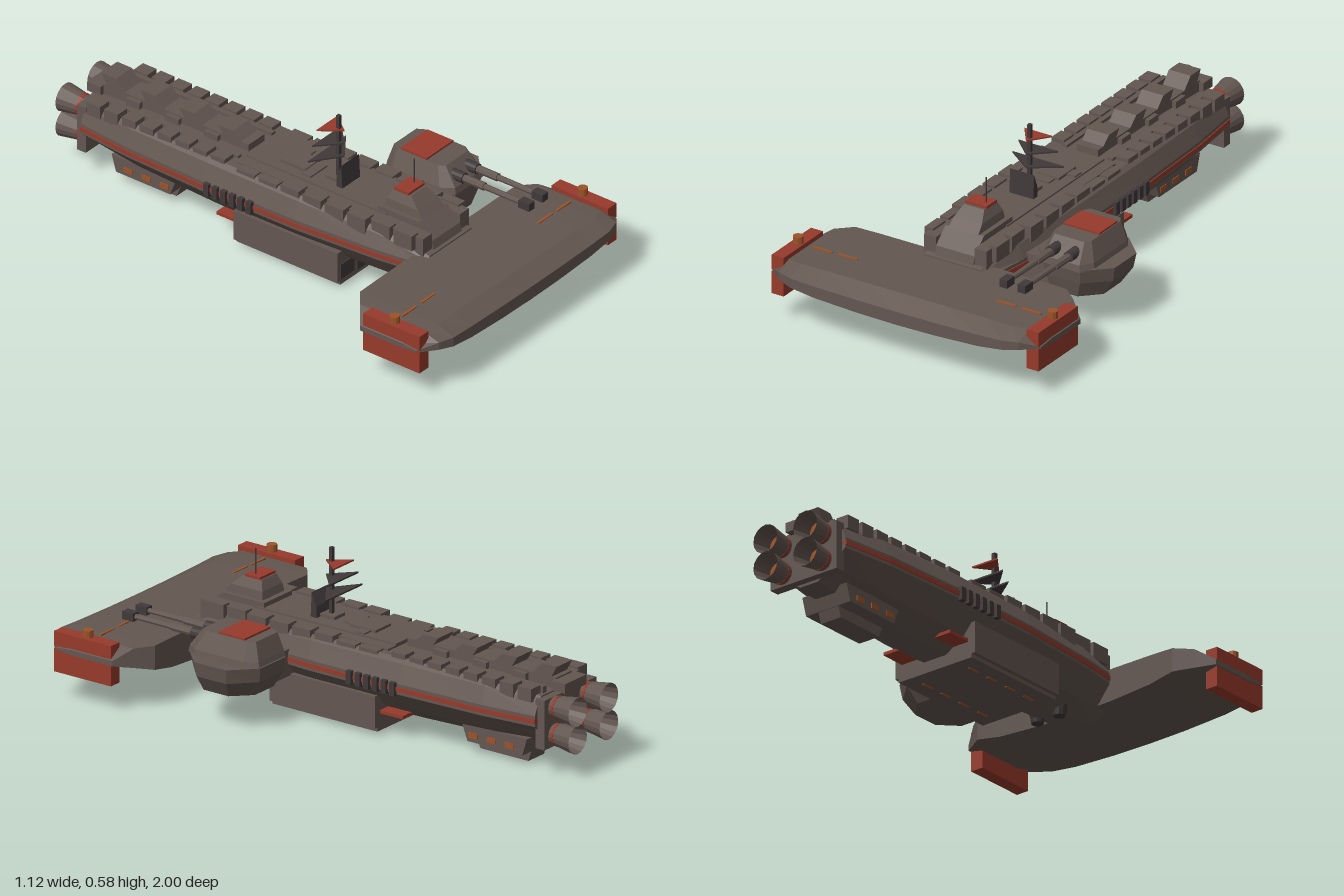
import * as THREE from 'three';

const mat = (name, color) => Object.assign(new THREE.MeshStandardMaterial({ color, flatShading: true }), { name });

export function createModel() {
  const root = new THREE.Group();
  root.name = 'warship';
  const hull = mat('hull grey', 0x635650);
  const dark = mat('dark metal', 0x40393a);
  const red = mat('red paint', 0x963a2b);
  const orange = mat('orange lights', 0x9c5228);

  const add = (name, geo, m, x = 0, y = 0, z = 0) => {
    const mesh = new THREE.Mesh(geo, m);
    mesh.name = name;
    mesh.position.set(x, y, z);
    root.add(mesh);
    return mesh;
  };
  // box given by its limits on each axis
  const box = (name, m, x0, x1, y0, y1, z0, z1) =>
    add(name, new THREE.BoxGeometry(x1 - x0, y1 - y0, z1 - z0), m, (x0 + x1) / 2, (y0 + y1) / 2, (z0 + z1) / 2);
  const pair = (name, m, x0, x1, ...r) => {
    box(name, m, x0, x1, ...r);
    box(name, m, -x1, -x0, ...r);
  };
  // cylinder along z; r0 at the back, r1 at the front
  const rod = (name, m, r0, r1, x, y, z0, z1, n = 12, open = false) =>
    add(name, new THREE.CylinderGeometry(r1, r0, z1 - z0, n, 1, open).rotateX(Math.PI / 2), m, x, y, (z0 + z1) / 2);

  // capped, flat-faced skin through rings of [x, y, z] points
  function loft(name, m, rings) {
    const p = [];
    const tri = (a, b, c) => p.push(...a, ...b, ...c);
    const n = rings[0].length;
    for (let i = 0; i + 1 < rings.length; i++) {
      for (let j = 0; j < n; j++) {
        const a = rings[i][j], b = rings[i][(j + 1) % n];
        const c = rings[i + 1][(j + 1) % n], d = rings[i + 1][j];
        tri(a, b, c);
        tri(a, c, d);
      }
    }
    const last = rings[rings.length - 1];
    for (let j = 1; j < n - 1; j++) {
      tri(rings[0][0], rings[0][j + 1], rings[0][j]);
      tri(last[0], last[j], last[j + 1]);
    }
    // turn the skin outward when its enclosed volume is negative
    let vol = 0;
    const va = new THREE.Vector3(), vb = new THREE.Vector3(), vc = new THREE.Vector3();
    for (let i = 0; i < p.length; i += 9) {
      va.fromArray(p, i); vb.fromArray(p, i + 3); vc.fromArray(p, i + 6);
      vol += va.dot(vb.cross(vc));
    }
    if (vol < 0) {
      for (let i = 0; i < p.length; i += 9) {
        for (let k = 0; k < 3; k++) [p[i + 3 + k], p[i + 6 + k]] = [p[i + 6 + k], p[i + 3 + k]];
      }
    }
    const g = new THREE.BufferGeometry();
    g.setAttribute('position', new THREE.Float32BufferAttribute(p, 3));
    g.computeVertexNormals();
    return add(name, g, m);
  }
  // side profile of [z, y] points, extruded from x0 to x1
  const slab = (name, m, x0, x1, pts) => loft(name, m, [x0, x1].map(x => pts.map(([z, y]) => [x, y, z])));
  // mirrored half outline of [x, y] points at depth z
  const mirrored = (pts, z) => [...pts.map(([x, y]) => [x, y, z]), ...pts.slice().reverse().map(([x, y]) => [-x, y, z])];

  // main hull: [z, half width, keel height, deck height]
  const stations = [
    [-0.87, 0.165, 0.1, 0.3], [-0.65, 0.188, 0.075, 0.312], [-0.3, 0.2, 0.065, 0.315],
    [0.1, 0.198, 0.06, 0.312], [0.45, 0.175, 0.065, 0.3], [0.64, 0.15, 0.08, 0.255],
  ];
  loft('hull', hull, stations.map(([z, w, b, t]) => mirrored(
    [[0.25 * w, b], [0.65 * w, b + 0.05], [w, 0.195], [w, 0.235], [0.87 * w, t - 0.015], [0.78 * w, t]], z)));
  loft('red waterline stripe', red, stations.map(([z, w]) => mirrored([[w + 0.004, 0.207], [w + 0.004, 0.223]], z)));
  box('stern block', hull, -0.15, 0.15, 0.11, 0.295, -0.9, -0.86);

  // hammerhead bow wing: [x, rear z, front z, top, bottom]
  const half = [
    [0.56, 0.68, 0.93, 0.205, 0.185], [0.5, 0.633, 0.982, 0.244, 0.172], [0.44, 0.585, 1, 0.248, 0.158],
    [0.34, 0.585, 1, 0.25, 0.139], [0.16, 0.585, 1, 0.25, 0.127], [0, 0.585, 1, 0.25, 0.124],
  ];
  const wing = [...half.map(s => [-s[0], ...s.slice(1)]), ...half.slice(0, -1).reverse()];
  loft('bow wing', hull, wing.map(([x, b, f, t, u]) => [
    [x, t, b], [x, t, f - 0.07], [x, t * 0.7 + u * 0.3, f], [x, t * 0.3 + u * 0.7, f], [x, u, f - 0.1], [x, u, b],
  ]));
  pair('wing tip pod upper', red, 0.506, 0.556, 0.2, 0.257, 0.69, 0.94);
  pair('wing tip pod lower', red, 0.506, 0.556, 0.107, 0.194, 0.69, 0.94);
  pair('wing tip pod seam', dark, 0.51, 0.552, 0.19, 0.204, 0.695, 0.935);
  for (const s of [-1, 1]) {
    add('wing tip lamp', new THREE.CylinderGeometry(0.019, 0.019, 0.028, 10), orange, s * 0.53, 0.27, 0.81);
  }
  pair('wing light dash', orange, 0.29, 0.37, 0.249, 0.253, 0.794, 0.804);
  pair('wing light dash', orange, 0.395, 0.475, 0.247, 0.252, 0.794, 0.804);

  // deck edge blocks and rails
  pair('deck rail', hull, 0.085, 0.105, 0.29, 0.325, -0.86, -0.22);
  for (let i = 0; i < 8; i++) {
    const z = -0.85 + i * 0.079;
    pair('deck block', hull, 0.108, 0.16, 0.28, 0.33, z, z + 0.06);
  }
  for (let i = 0; i < 8; i++) {
    const z = -0.18 + i * 0.098;
    const w = i > 5 ? 0.15 : 0.165;
    pair('forward deck block', hull, 0.115, w, 0.27, i > 1 ? 0.33 : 0.32, z, z + 0.08);
  }
  pair('forward deck wall', hull, 0.08, 0.13, 0.25, 0.322, -0.2, 0.62);
  box('spine deck', hull, -0.085, 0.085, 0.29, 0.328, -0.2, 0.42);
  box('rear spine', hull, -0.045, 0.045, 0.3, 0.342, -0.87, -0.22);

  // sloped vents along the rear spine
  for (let i = 0; i < 4; i++) {
    const z = -0.24 - i * 0.173, y = 0.372 + i * 0.004;
    slab('spine vent', hull, -0.045, 0.045, [[z, 0.33], [z - 0.05, y], [z - 0.115, y], [z - 0.085, 0.33]]);
    box('spine plate', hull, -0.062, 0.062, 0.3, 0.336, z - 0.165, z - 0.105);
  }
  box('mid hatch', hull, -0.045, 0.045, 0.32, 0.338, -0.08, 0.03);
  box('mid hatch step', hull, -0.02, 0.08, 0.32, 0.334, -0.06, -0.02);
  box('mid hatch step', hull, -0.065, 0.03, 0.32, 0.334, 0.03, 0.07);

  // side gun ports
  for (let i = 0; i < 6; i++) pair('side port', dark, 0.195, 0.214, 0.19, 0.24, -0.29 + i * 0.038, -0.268 + i * 0.038);

  // bridge tower
  slab('bridge base', hull, -0.08, 0.08, [[0.38, 0.25], [0.38, 0.345], [0.56, 0.345], [0.62, 0.29], [0.63, 0.25]]);
  loft('bridge upper', hull, [
    [[-0.062, 0.345, 0.4], [0.062, 0.345, 0.4], [0.062, 0.345, 0.57], [-0.062, 0.345, 0.57]],
    [[-0.058, 0.375, 0.405], [0.058, 0.375, 0.405], [0.058, 0.375, 0.54], [-0.058, 0.375, 0.54]],
    [[-0.042, 0.411, 0.42], [0.042, 0.411, 0.42], [0.042, 0.411, 0.5], [-0.042, 0.411, 0.5]],
  ]);
  box('bridge roof', red, -0.045, 0.045, 0.41, 0.42, 0.425, 0.49);
  add('bridge aerial', new THREE.CylinderGeometry(0.003, 0.003, 0.1, 6), dark, 0.024, 0.467, 0.46);

  // mast with triangular vanes
  box('mast', dark, -0.007, 0.007, 0.31, 0.585, 0.138, 0.152);
  box('mast foot', hull, -0.03, 0.03, 0.32, 0.34, 0.11, 0.18);
  for (const [y, w, m] of [[0.425, 0.108, dark], [0.477, 0.083, dark], [0.53, 0.058, red]]) {
    const tri = h => [[-w, h, 0.092], [w, h, 0.092], [0, h, 0.17]];
    loft('mast vane', m, [tri(y - 0.003), tri(y + 0.003)]);
  }
  slab('mast brace', dark, -0.05, 0.05, [[0.2, 0.32], [0.195, 0.42], [0.175, 0.37], [0.172, 0.32]]);

  // side turret on its sponson
  const octagon = (cx, cz, rx, rz, y, k = 0.45) =>
    [[1, k], [k, 1], [-k, 1], [-1, k], [-1, -k], [-k, -1], [k, -1], [1, -k]].map(([a, b]) => [cx + a * rx, y, cz + b * rz]);
  loft('turret sponson', hull, [
    octagon(0.33, 0.31, 0.12, 0.12, 0.138), octagon(0.335, 0.3, 0.155, 0.145, 0.2), octagon(0.34, 0.3, 0.16, 0.155, 0.255),
  ]);
  box('sponson arm', hull, 0.12, 0.3, 0.15, 0.25, 0.19, 0.43);
  loft('turret house', hull, [
    octagon(0.335, 0.305, 0.11, 0.155, 0.25, 0.7), octagon(0.335, 0.305, 0.105, 0.15, 0.275, 0.7), octagon(0.335, 0.29, 0.078, 0.115, 0.343, 0.8),
  ]);
  box('turret roof', red, 0.26, 0.41, 0.341, 0.35, 0.215, 0.33);
  for (const x of [0.296, 0.372]) {
    rod('gun mantlet', dark, 0.022, 0.02, x, 0.305, 0.38, 0.47);
    rod('gun barrel', hull, 0.012, 0.01, x, 0.305, 0.4, 0.75, 8);
    rod('gun sleeve', hull, 0.015, 0.015, x, 0.305, 0.46, 0.56, 8);
    box('gun muzzle', dark, x - 0.016, x + 0.016, 0.29, 0.32, 0.72, 0.768);
  }

  // belly hangar
  box('belly hangar', hull, -0.18, 0.18, 0.035, 0.155, -0.18, 0.28);
  box('hangar floor', hull, -0.165, 0.165, 0.02, 0.036, -0.18, 0.28);
  pair('hangar door', dark, 0.09, 0.165, 0.045, 0.105, 0.279, 0.285);
  box('hangar gate', dark, -0.075, 0.075, 0.04, 0.115, 0.279, 0.286);
  for (let i = 0; i < 4; i++) pair('hangar light', orange, 0.1, 0.108, 0.017, 0.021, -0.12 + i * 0.1, -0.07 + i * 0.1);
  pair('belly plate', red, 0.06, 0.15, 0.084, 0.096, -0.28, -0.18);
  for (const s of [-1, 1]) add('chin gun', new THREE.CylinderGeometry(0.03, 0.022, 0.04, 10), dark, s * 0.05, 0.07, 0.44);

  // lower stern keel
  slab('stern keel', hull, -0.045, 0.045, [[-0.5, 0.1], [-0.54, 0.005], [-0.75, 0.005], [-0.78, 0.1]]);
  slab('stern keel shoulder', hull, -0.1, 0.1, [[-0.5, 0.11], [-0.525, 0.045], [-0.765, 0.045], [-0.785, 0.11]]);
  for (let i = 0; i < 3; i++) pair('keel light', orange, 0.098, 0.103, 0.06, 0.08, -0.57 - i * 0.08, -0.53 - i * 0.08);

  // engines
  const bell = hull.clone();
  bell.name = 'engine grey';
  bell.side = THREE.DoubleSide;
  for (const x of [-0.09, 0.09]) {
    for (const y of [0.155, 0.257]) {
      rod('engine nozzle', bell, 0.054, 0.036, x, y, -1, -0.885, 16, true);
      rod('engine ring', red, 0.043, 0.041, x, y, -0.922, -0.91, 16);
      rod('engine glow', orange, 0.036, 0.036, x, y, -0.93, -0.92, 16);
    }
  }
  return root;
}
